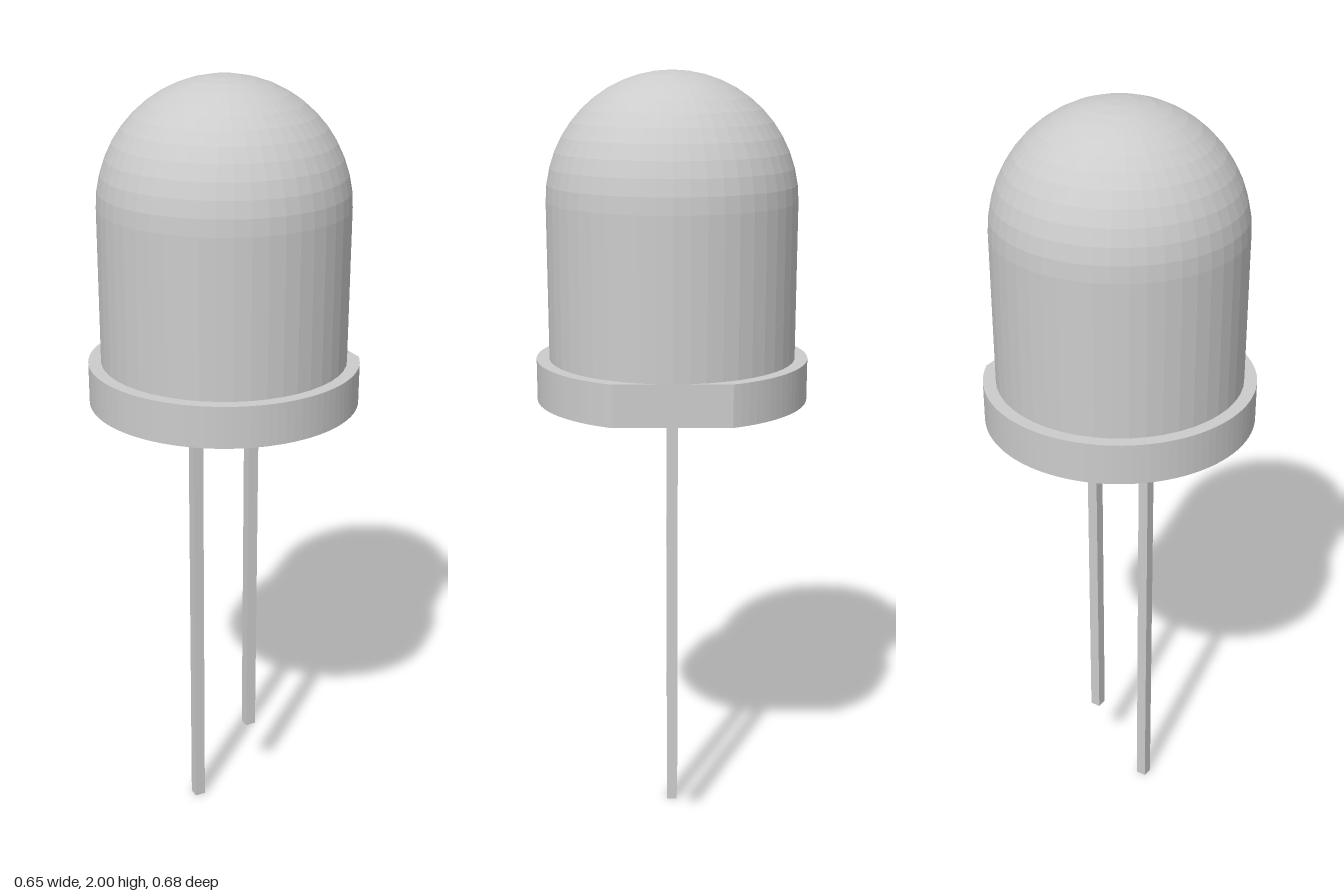
import * as THREE from 'three';

export function createModel() {
  const group = new THREE.Group();
  const grey = new THREE.MeshStandardMaterial({ color: 0xcccccc, flatShading: true });
  const cx = 0.014;          // axis of the body
  const bodyR = 0.31, flangeR = 0.342;
  const flangeBottom = 1.195, flangeTop = 1.3, top = 2;

  const add = (name, geometry, x, y) => {
    const mesh = new THREE.Mesh(geometry, grey);
    mesh.name = name;
    mesh.position.set(x, y, 0);
    group.add(mesh);
  };

  // Lens: straight wall closed by a hemispherical dome
  const profile = [new THREE.Vector2(bodyR, flangeTop - 0.02)];
  const rings = 12;
  for (let i = 0; i <= rings; i++) {
    const a = (i / rings) * Math.PI / 2;
    profile.push(new THREE.Vector2(i === rings ? 0 : bodyR * Math.cos(a), top - bodyR + bodyR * Math.sin(a)));
  }
  add('lens', new THREE.LatheGeometry(profile, 48), cx, 0);

  // Flange: disc with one side cut flat, flush with the lens wall
  const cut = Math.acos((bodyR + 0.001) / flangeR);
  const outline = new THREE.Shape();
  outline.absarc(0, 0, flangeR, cut, Math.PI * 2 - cut, false);
  outline.closePath();
  const flange = new THREE.ExtrudeGeometry(outline, {
    depth: flangeTop - flangeBottom, bevelEnabled: false, curveSegments: 42,
  });
  flange.rotateX(-Math.PI / 2);
  add('flange', flange, cx, flangeBottom);

  // Square wire leads, one longer than the other
  const lead = (name, x, bottom) => {
    const height = flangeBottom + 0.02 - bottom;
    add(name, new THREE.BoxGeometry(0.028, height, 0.028), x, bottom + height / 2);
  };
  lead('longLead', cx - 0.08, 0);
  lead('shortLead', cx + 0.08, 0.19);

  return group;
}
